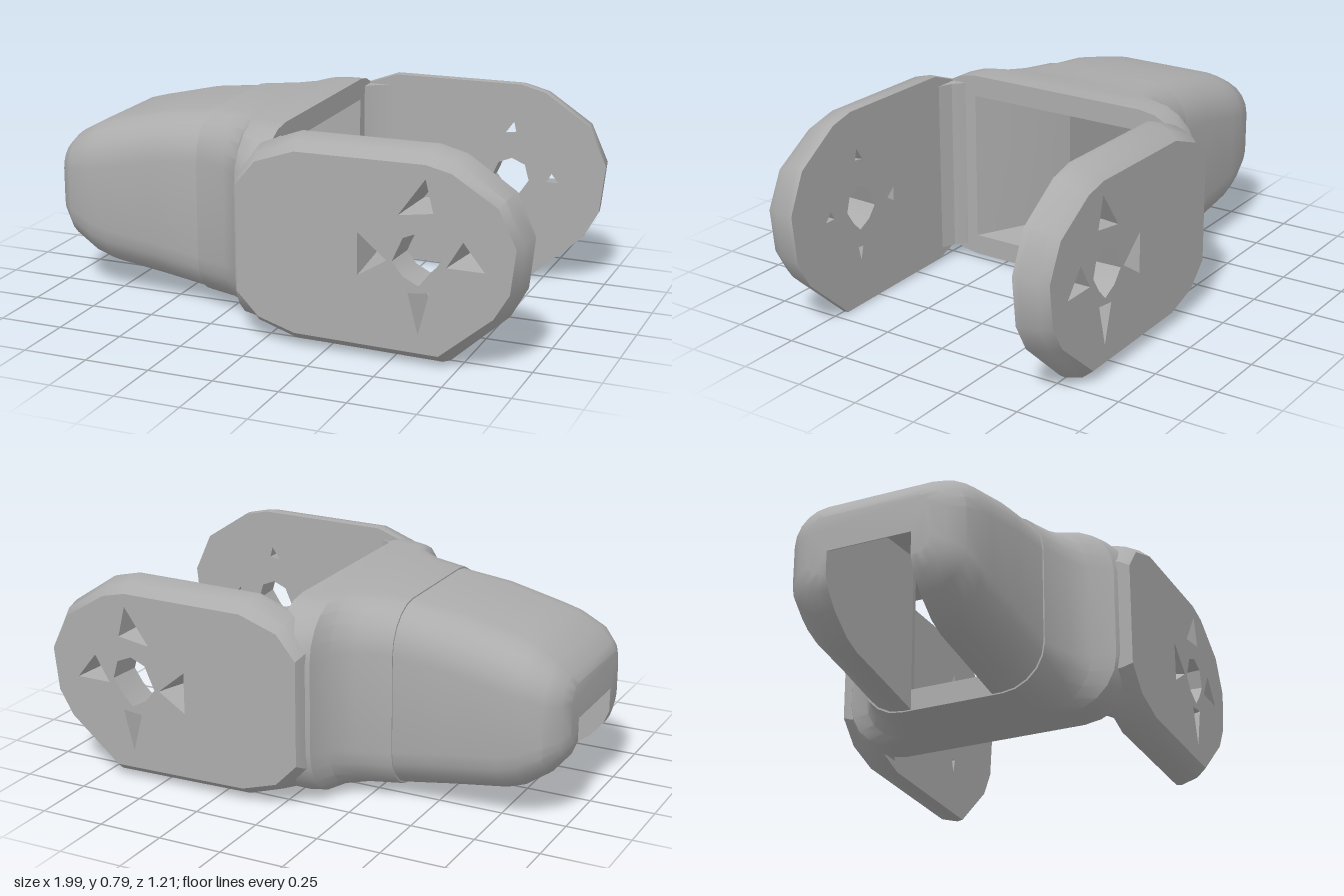
import * as THREE from 'three';
import { toCreasedNormals } from 'three/addons/utils/BufferGeometryUtils.js';

// Each axis places section coordinates (u, v) at distance w along it
const AXES = {
  x: (u, v, w) => [w, u, v],
  y: (u, v, w) => [v, w, u],
  z: (u, v, w) => [u, v, w],
};

// Collects skins between rings and flat caps. A ring is { w, pts: [[u, v], ...] }.
class Builder {
  constructor(axis) {
    this.map = AXES[axis];
    this.pos = [];
  }
  tri(a, b, c) {
    for (const p of [a, b, c]) this.pos.push(...this.map(...p));
  }
  skin(rings, inward = false) {
    for (let k = 0; k + 1 < rings.length; k++) {
      const A = rings[k], B = rings[k + 1], n = A.pts.length;
      for (let i = 0; i < n; i++) {
        const j = (i + 1) % n;
        const a = [...A.pts[i], A.w], b = [...A.pts[j], A.w];
        const c = [...B.pts[j], B.w], d = [...B.pts[i], B.w];
        if (inward) { this.tri(a, c, b); this.tri(a, d, c); }
        else { this.tri(a, b, c); this.tri(a, c, d); }
      }
    }
    return this;
  }
  cap(ring, holes, sign) {
    const vec = (pts) => pts.map((p) => new THREE.Vector2(...p));
    const all = [ring.pts, ...holes].flat();
    for (const f of THREE.ShapeUtils.triangulateShape(vec(ring.pts), holes.map(vec))) {
      const [a, b, c] = f.map((i) => all[i]);
      const area = (b[0] - a[0]) * (c[1] - a[1]) - (b[1] - a[1]) * (c[0] - a[0]);
      const [p, q, r] = [a, b, c].map((s) => [...s, ring.w]);
      if (area * sign > 0) this.tri(p, q, r);
      else this.tri(p, r, q);
    }
    return this;
  }
  geometry(crease = 0.6) {
    const g = new THREE.BufferGeometry();
    g.setAttribute('position', new THREE.Float32BufferAttribute(this.pos, 3));
    return toCreasedNormals(g, crease);
  }
}

// Copy mirrored to the other side of z = 0, with the corner order turned round
function mirrorZ(geometry) {
  const p = geometry.attributes.position, out = [];
  for (let i = 0; i < p.count; i += 3) {
    for (const k of [i, i + 2, i + 1]) out.push(p.getX(k), p.getY(k), -p.getZ(k));
  }
  const g = new THREE.BufferGeometry();
  g.setAttribute('position', new THREE.Float32BufferAttribute(out, 3));
  return toCreasedNormals(g, 0.6);
}

// Rounded section as [y, z] points, optionally slotted from below
function section(yb, yt, hz, r, slot) {
  const half = [], steps = 5;
  for (const [cy, start] of [[yt - r, 0], [yb + r, Math.PI / 2]]) {
    for (let i = 0; i <= steps; i++) {
      const a = start + (i / steps) * Math.PI / 2;
      half.push([cy + r * Math.cos(a), hz - r + r * Math.sin(a)]);
    }
  }
  if (slot) half.push([yb, slot.z], [slot.y, slot.z]);
  return [...half, ...half.map(([y, z]) => [y, -z]).reverse()];
}

const scaleAbout = (pts, cx, cy, sx, sy) =>
  pts.map(([x, y]) => [cx + (x - cx) * sx, cy + (y - cy) * sy]);

// Rounded nose with a slot open at the bottom and the end
function noseGeometry() {
  const rings = [ // x, bottom, top, half width, corner radius, slot ceiling
    [-1, 0.3, 0.53, 0.24, 0.06, 0.39],
    [-0.98, 0.25, 0.56, 0.29, 0.09, 0.4],
    [-0.93, 0.19, 0.61, 0.34, 0.13, 0.455],
    [-0.84, 0.125, 0.66, 0.358, 0.16, 0.56],
    [-0.77, 0.1, 0.68, 0.361, 0.165, 0.61],
    [-0.56, 0.07, 0.73, 0.365, 0.17, 0.655],
    [-0.36, 0.04, 0.752, 0.37, 0.17, 0.67],
  ].map(([w, yb, yt, hz, r, y]) => ({ w, pts: section(yb, yt, hz, r, { y, z: 0.165 }) }));
  return new Builder('x').skin(rings).cap(rings[0], [], -1).geometry();
}

// Hollow collar that swells into the arm roots
function collarGeometry() {
  const outer = [
    [-0.36, 0.035, 0.757, 0.375, 0.17],
    [-0.23, 0.03, 0.765, 0.415, 0.18],
    [-0.155, 0.025, 0.77, 0.47, 0.19],
    [-0.12, 0.022, 0.771, 0.555, 0.2],
    [-0.06, 0.02, 0.772, 0.592, 0.22],
    [0.005, 0.02, 0.773, 0.592, 0.22],
  ].map(([w, ...s]) => ({ w, pts: section(...s) }));
  const inner = [
    [-0.36, 0.12, 0.67, 0.165],
    [-0.2, 0.11, 0.68, 0.24],
    [0.005, 0.1, 0.69, 0.37],
  ].map(([w, yb, yt, z]) => ({ w, pts: [[yt, -z], [yt, z], [yb, z], [yb, -z]] }));
  return new Builder('x')
    .skin(outer)
    .skin(inner, true)
    .cap(outer[0], [inner[0].pts], -1)
    .cap(outer[5], [inner[2].pts], 1)
    .geometry();
}

// Side arm: faceted plate with a bevelled outer face and five holes
function armGeometry() {
  const outline = [
    [-0.12, 0.16], [-0.03, 0.06], [0.12, 0.01], [0.7, 0.0], [0.91, 0.19], [0.97, 0.3], [0.99, 0.49],
    [0.92, 0.645], [0.74, 0.765], [0.64, 0.79], [0.12, 0.785], [-0.04, 0.725], [-0.12, 0.62],
  ];
  const rings = [[0.477, 1, 0.99], [0.5, 0.995, 1], [0.568, 0.972, 0.955], [0.607, 0.945, 0.875]]
    .map(([w, sx, sy]) => ({ w, pts: scaleAbout(outline, 0.44, 0.395, sx, sy) }));
  const pivot = [
    [0.51, 0.38], [0.55, 0.47], [0.61, 0.495], [0.67, 0.47],
    [0.69, 0.4], [0.65, 0.34], [0.61, 0.3], [0.55, 0.33],
  ];
  const triangles = [
    [[0.53, 0.55], [0.63, 0.69], [0.66, 0.57]],
    [[0.38, 0.31], [0.38, 0.47], [0.49, 0.38]],
    [[0.71, 0.38], [0.77, 0.48], [0.85, 0.38]],
    [[0.57, 0.27], [0.65, 0.28], [0.61, 0.12]],
  ];
  const b = new Builder('z').skin(rings);
  const outerHoles = [pivot, ...triangles];
  // Holes taper towards the inner face
  const innerHoles = outerHoles.map((h, i) => {
    const cx = h.reduce((s, p) => s + p[0], 0) / h.length;
    const cy = h.reduce((s, p) => s + p[1], 0) / h.length;
    const s = i === 0 ? 0.9 : 0.35;
    return scaleAbout(h, cx, cy, s, s);
  });
  outerHoles.forEach((h, i) =>
    b.skin([{ w: 0.477, pts: innerHoles[i] }, { w: 0.607, pts: h }]));
  return b.cap(rings[0], innerHoles, -1).cap(rings[3], outerHoles, 1).geometry();
}

// Sloped strip in the corner between the collar and an arm
function filletGeometry() {
  const pts = [[0.4, -0.02], [0.49, -0.02], [0.49, 0.1], [0.477, 0.1], [0.455, 0.045], [0.42, 0.008]];
  const rings = [{ w: 0.055, pts }, { w: 0.735, pts }];
  return new Builder('y').skin(rings).cap(rings[0], [], -1).cap(rings[1], [], 1).geometry(0.3);
}

export function createModel() {
  const group = new THREE.Group();
  group.name = 'forkedJoint';
  const grey = new THREE.MeshStandardMaterial({ color: 0xacacac });
  grey.name = 'grey';
  const add = (name, geometry) => {
    const mesh = new THREE.Mesh(geometry, grey);
    mesh.name = name;
    group.add(mesh);
  };
  add('nose', noseGeometry());
  add('collar', collarGeometry());
  const arm = armGeometry(), fillet = filletGeometry();
  add('frontArm', arm);
  add('backArm', mirrorZ(arm));
  add('frontFillet', fillet);
  add('backFillet', mirrorZ(fillet));
  return group;
}
